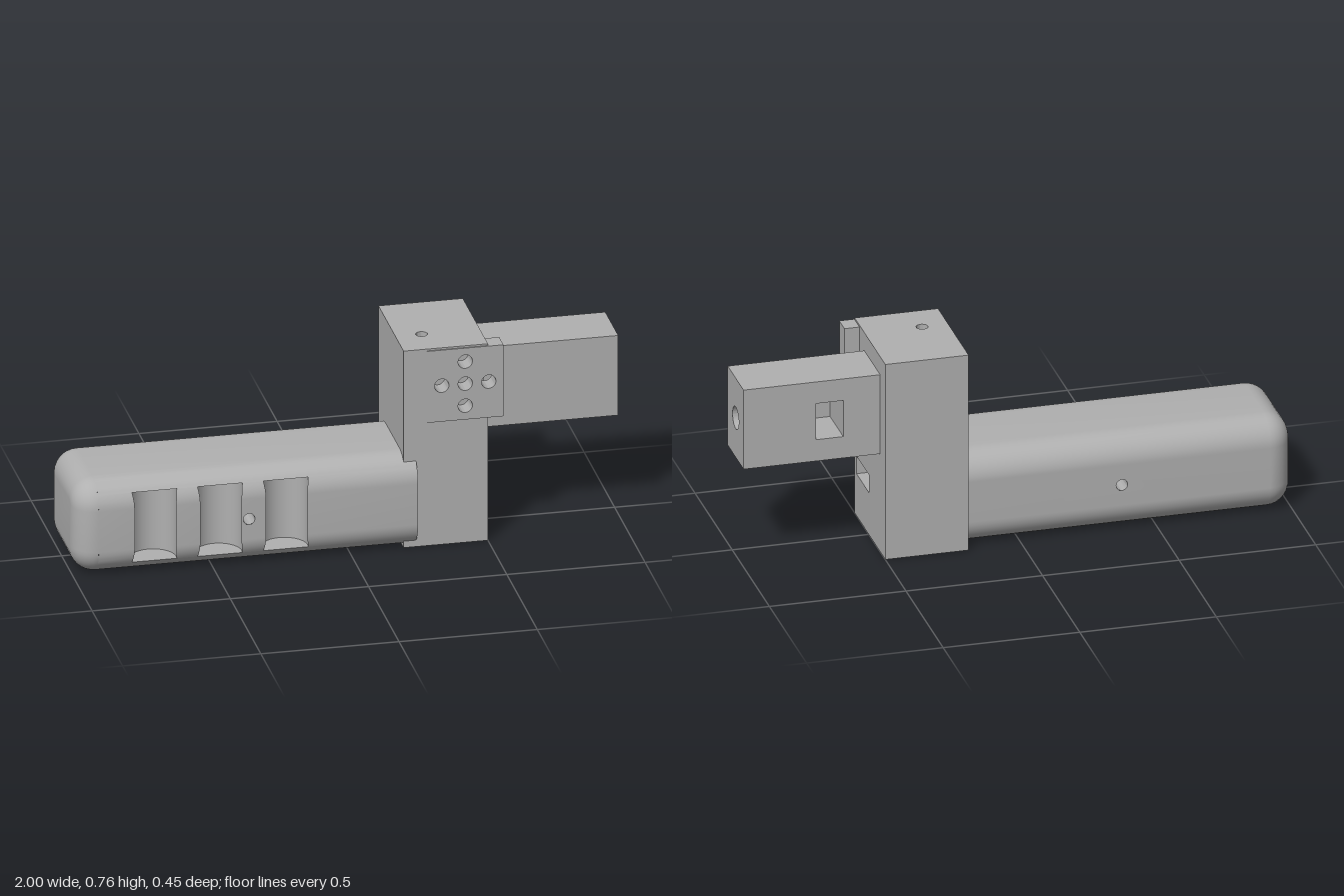
import * as THREE from 'three';
import { mergeGeometries, toCreasedNormals } from 'three/addons/utils/BufferGeometryUtils.js';

const PI = Math.PI;
const V2 = (x, y) => new THREE.Vector2(x, y);
const rect = (x0, y0, x1, y1) => [V2(x0, y0), V2(x1, y0), V2(x1, y1), V2(x0, y1)];

function outline(points, circles = []) {
  const s = new THREE.Shape(points);
  for (const [x, y, r] of circles) s.holes.push(new THREE.Path().absarc(x, y, r, 0, 2 * PI, true));
  return s;
}

// Joins pieces into one geometry, smooth on curves and sharp at edges
function join(pieces) {
  const plain = pieces.map((p) => {
    const g = p.index ? p.toNonIndexed() : p;
    g.deleteAttribute('uv');
    g.deleteAttribute('normal');
    g.clearGroups();
    return g;
  });
  const all = mergeGeometries(plain);
  all.computeVertexNormals();
  return toCreasedNormals(all, 0.6);
}

const extrude = (shape, depth) =>
  new THREE.ExtrudeGeometry(shape, { depth, bevelEnabled: false, curveSegments: 24 });
// Slab between two heights, outline in (x, -z)
const slabY = (shape, y0, y1) => extrude(shape, y1 - y0).rotateX(-PI / 2).translate(0, y0, 0);
// Slab between two x positions, outline in (-z, y)
const slabX = (shape, x0, x1) => extrude(shape, x1 - x0).rotateY(PI / 2).translate(x0, 0, 0);

// Surface from f(u, v), facing du x dv
function grid(f, nu, nv) {
  const pos = [], idx = [];
  for (let j = 0; j <= nv; j++) for (let i = 0; i <= nu; i++) pos.push(...f(i / nu, j / nv));
  for (let j = 0; j < nv; j++) for (let i = 0; i < nu; i++) {
    const a = j * (nu + 1) + i, c = a + nu + 1;
    idx.push(a, a + 1, c + 1, a, c + 1, c);
  }
  const g = new THREE.BufferGeometry();
  g.setAttribute('position', new THREE.Float32BufferAttribute(pos, 3));
  g.setIndex(idx);
  return g;
}

// Handle: rounded bar with three undercut finger grooves and a cross hole
function handleGeometry() {
  const X0 = -1, X1 = 0.24, R = 0.1, F = 0.085, XB = X0 + F;
  const CY = 0.1775, HY = 0.0775, ZF = 0.124, ZB = -0.105, N = 10;
  const GR = 0.083, GZ = 0.188, GH = 0.134;
  const centres = [-0.71, -0.473, -0.235];
  const holeX = -0.371, holeR = 0.021;
  const t0 = Math.asin((GH - HY) / R) / (PI / 2);
  const lerp = THREE.MathUtils.lerp;
  // [y, z] on corner q (0 front top, 1 back top, 2 back bottom, 3 front bottom)
  const corner = (q, t, r = R) => {
    const a = (q + t) * PI / 2;
    return [CY + (q < 2 ? HY : -HY) + r * Math.sin(a), (q % 3 ? ZB : ZF) + r * Math.cos(a)];
  };
  const profile = (r) => {
    const p = [];
    for (let q = 0; q < 4; q++) for (let i = 0; i <= N; i++) p.push(corner(q, i / N, r));
    return p;
  };
  const parts = [];

  // Rounded corners and top and bottom flats
  for (const [q, a, b] of [[0, t0, 1], [1, 0, 1], [2, 0, 1], [3, 0, 1 - t0]])
    parts.push(grid((u, v) => [lerp(XB, X1, u), ...corner(q, lerp(a, b, v))], 1, N));
  for (const q of [0, 2]) {
    const a = corner(q, 1), b = corner(q + 1, 0);
    parts.push(grid((u, v) => [lerp(XB, X1, u), lerp(a[0], b[0], v), lerp(a[1], b[1], v)], 1, 1));
  }

  // Back flat with the cross hole
  parts.push(new THREE.ShapeGeometry(
    outline(rect(-X1, CY - HY, -XB, CY + HY), [[-holeX, CY, holeR]]), 24).rotateY(PI).translate(0, 0, ZB - R));

  // Lands between the grooves
  const halfWidth = (z) => Math.sqrt(GR * GR - (z - GZ) ** 2);
  for (let i = 0; i < 4; i++) {
    const left = (z) => (i ? centres[i - 1] + halfWidth(z) : XB);
    const right = (z) => (i < 3 ? centres[i] - halfWidth(z) : X1);
    const zf = ZF + R;
    parts.push(new THREE.ShapeGeometry(
      outline(rect(left(zf), CY - HY, right(zf), CY + HY), i === 2 ? [[holeX, CY, holeR]] : []), 24)
      .translate(0, 0, zf));
    for (const [q, a, b] of [[0, 0, t0], [3, 1 - t0, 1]])
      parts.push(grid((u, v) => {
        const [y, z] = corner(q, lerp(a, b, v));
        return [lerp(left(z), right(z), u), y, z];
      }, 1, 6));
  }

  // Groove walls with their floors and ceilings
  const rows = [];
  for (let i = 0; i <= 6; i++) rows.push(corner(3, lerp(1 - t0, 1, i / 6)));
  for (let i = 0; i <= 6; i++) rows.push(corner(0, lerp(0, t0, i / 6)));
  for (const cx of centres) {
    const arc = (u, z) => {
      const a = Math.acos((GZ - z) / GR) * (2 * u - 1);
      return [cx + GR * Math.sin(a), GZ - GR * Math.cos(a)];
    };
    parts.push(grid((u, v) => {
      const [y, z] = rows[Math.round(v * 13)];
      const [x, zz] = arc(u, z);
      return [x, y, zz];
    }, 24, 13));
    const end = Array.from({ length: 25 }, (_, i) => arc(i / 24, rows[0][1]));
    parts.push(new THREE.ShapeGeometry(outline(end.map(([x, z]) => V2(x, -z))))
      .rotateX(-PI / 2).translate(0, rows[0][0], 0));
    parts.push(new THREE.ShapeGeometry(outline(end.map(([x, z]) => V2(x, z))))
      .rotateX(PI / 2).translate(0, rows[13][0], 0));
  }

  // Filleted far end and both end caps
  const count = profile(R).length;
  parts.push(grid((u, v) => {
    const a = u * PI / 2;
    const p = profile(R - F * (1 - Math.sin(a)));
    return [X0 + F * (1 - Math.cos(a)), ...p[Math.round(v * count) % count]];
  }, 8, count));
  parts.push(new THREE.ShapeGeometry(outline(profile(R - F).map(([y, z]) => V2(z, y))))
    .rotateY(-PI / 2).translate(X0, 0, 0));
  parts.push(new THREE.ShapeGeometry(outline(profile(R).map(([y, z]) => V2(-z, y))))
    .rotateY(PI / 2).translate(X1, 0, 0));

  // Wall of the cross hole, facing inward
  parts.push(grid((u, v) => [holeX + holeR * Math.cos(2 * PI * u), CY + holeR * Math.sin(2 * PI * u),
    lerp(ZF + R, ZB - R, v)], 24, 1));
  return join(parts);
}

// Upright block: stacked slabs leave the side slot, plate recess and vertical hole
function blockGeometry() {
  const x0 = 0.195, x1 = 0.5, f = -0.19, b = 0.222;
  const hole = [[0.29, -0.055, 0.021]];
  const full = outline(rect(x0, f, x1, b), hole);
  const slotted = outline([V2(x0, f), V2(x1, f), V2(x1, -0.165), V2(0.245, -0.165),
    V2(0.245, 0), V2(x1, 0), V2(x1, b), V2(x0, b)]);
  const recessed = outline([V2(x0, f), V2(0.279, f), V2(0.279, -0.125), V2(x1, -0.125),
    V2(x1, b), V2(x0, b)], hole);
  return join([
    slabY(full, 0, 0.163), slabY(slotted, 0.163, 0.232), slabY(full, 0.232, 0.475),
    slabY(recessed, 0.475, 0.75), slabY(full, 0.75, 0.757),
  ]);
}

// Side bar: end bore running into a square pocket open at the back
function barGeometry() {
  const f = -0.06, b = 0.153, y0 = 0.38, y1 = 0.687, p0 = 0.463, p1 = 0.603;
  const bored = outline(rect(f, y0, b, y1), [[0.047, 0.533, 0.042]]);
  const pocket = outline([V2(f, y0), V2(b, y0), V2(b, p0), V2(-0.025, p0),
    V2(-0.025, p1), V2(b, p1), V2(b, y1), V2(f, y1)]);
  return join([
    slabX(outline(rect(f, y0, b, y1)), 0.49, 0.635), slabX(pocket, 0.635, 0.735), slabX(bored, 0.735, 1),
  ]);
}

// Front plate with a cross of five holes
function plateGeometry() {
  const cx = 0.417, cy = 0.613, d = 0.085, r = 0.026;
  const holes = [[0, 0], [d, 0], [-d, 0], [0, d], [0, -d]].map(([x, y]) => [cx + x, cy + y, r]);
  return join([extrude(outline(rect(0.279, 0.475, 0.555, 0.75), holes), 0.07).translate(0, 0, 0.125)]);
}

export function createModel() {
  const grey = new THREE.MeshStandardMaterial({ color: 0xb0b0b0 });
  grey.name = 'grey';
  const model = new THREE.Group();
  model.name = 'gripAssembly';
  const parts = {
    handle: handleGeometry(), uprightBlock: blockGeometry(), sideBar: barGeometry(), frontPlate: plateGeometry(),
  };
  for (const [name, geometry] of Object.entries(parts)) {
    const mesh = new THREE.Mesh(geometry, grey);
    mesh.name = name;
    model.add(mesh);
  }
  return model;
}
